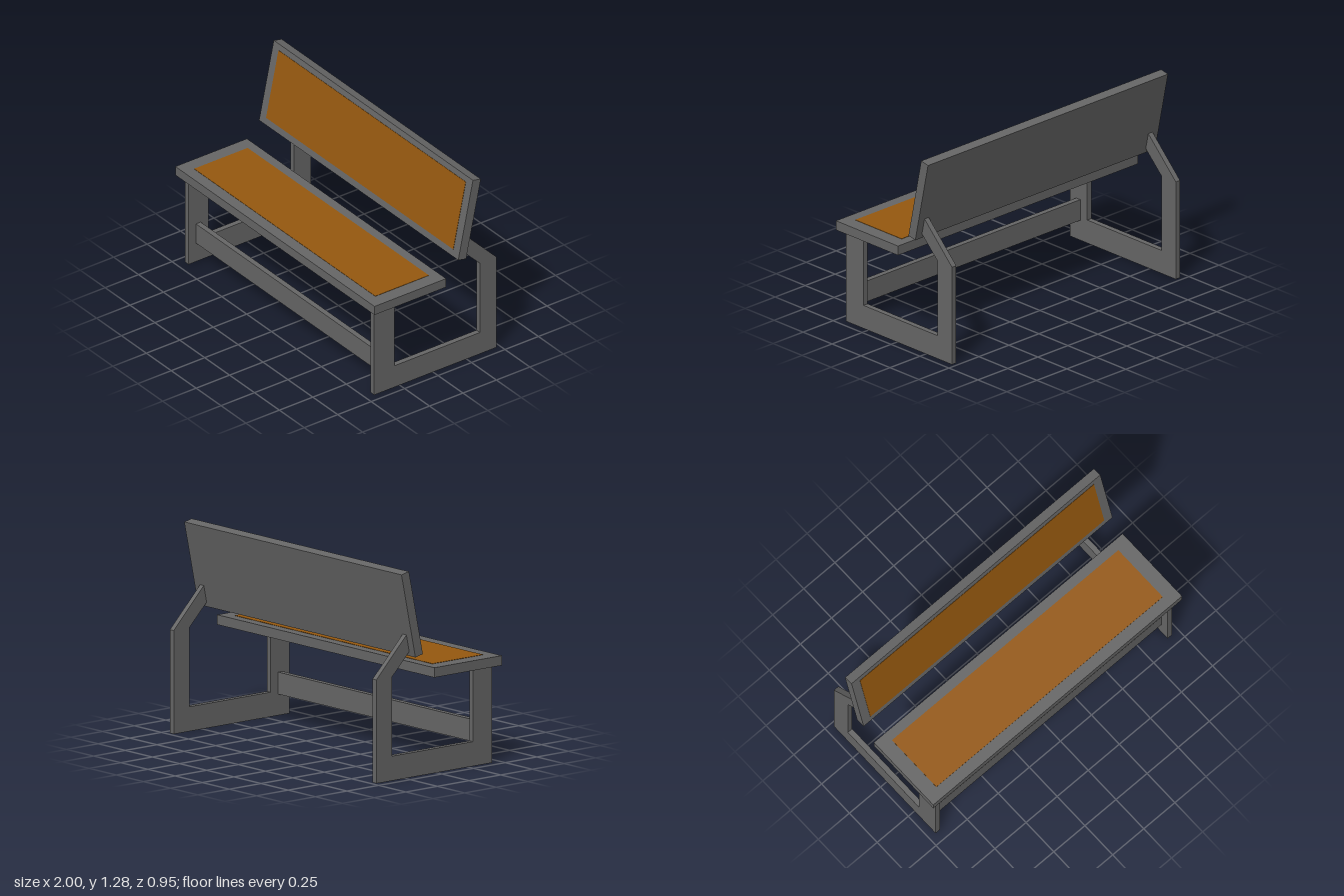
import * as THREE from 'three';

const frameMat = new THREE.MeshStandardMaterial({ color: 0x666666 });
const woodMat = new THREE.MeshStandardMaterial({ color: 0x96590f });

function box(name, w, h, d, x, y, z, mat = frameMat) {
  const mesh = new THREE.Mesh(new THREE.BoxGeometry(w, h, d), mat);
  mesh.name = name;
  mesh.position.set(x, y, z);
  return mesh;
}

// Side frame outline in (z, y): front leg, floor runner, rear leg and bent arm
function sideFrameGeometry(thickness) {
  const outline = [
    [0.44, 0], [0.44, 0.6], [0.29, 0.6], [0.29, 0.15], [-0.35, 0.15],
    [-0.35, 0.637], [-0.2, 0.787], [-0.22, 0.895], [-0.475, 0.635], [-0.475, 0],
  ];
  const shape = new THREE.Shape(outline.map(([z, y]) => new THREE.Vector2(-z, y)));
  const geo = new THREE.ExtrudeGeometry(shape, { depth: thickness, bevelEnabled: false });
  geo.translate(0, 0, -thickness / 2);
  geo.rotateY(Math.PI / 2); // shape x becomes -z
  return geo;
}

export function createModel() {
  const model = new THREE.Group();
  model.name = 'bench';

  // Two mirrored side frames
  const sideGeo = sideFrameGeometry(0.035);
  for (const side of [1, -1]) {
    const frame = new THREE.Mesh(sideGeo, frameMat);
    frame.name = side > 0 ? 'leftSideFrame' : 'rightSideFrame';
    frame.position.x = side * 0.9325;
    model.add(frame);
  }

  // Rail between the front legs
  model.add(box('crossRail', 1.83, 0.135, 0.035, 0, 0.1975, 0.367));

  // Seat board with a coloured panel set in its top
  const seat = new THREE.Group();
  seat.name = 'seat';
  seat.add(box('seatBoard', 2, 0.06, 0.535, 0, 0.63, 0.2075));
  seat.add(box('seatPanel', 1.82, 0.01, 0.4, 0, 0.657, 0.202, woodMat));
  model.add(seat);

  // Reclined backrest with a coloured panel set in its front
  const backrest = new THREE.Group();
  backrest.name = 'backrest';
  backrest.add(box('backBoard', 2, 0.533, 0.06, 0, 0, 0));
  backrest.add(box('backPanel', 1.88, 0.45, 0.01, 0, 0.003, 0.027, woodMat));
  backrest.position.set(0, 1.011, -0.235);
  backrest.rotation.x = -0.2076;
  model.add(backrest);

  return model;
}
